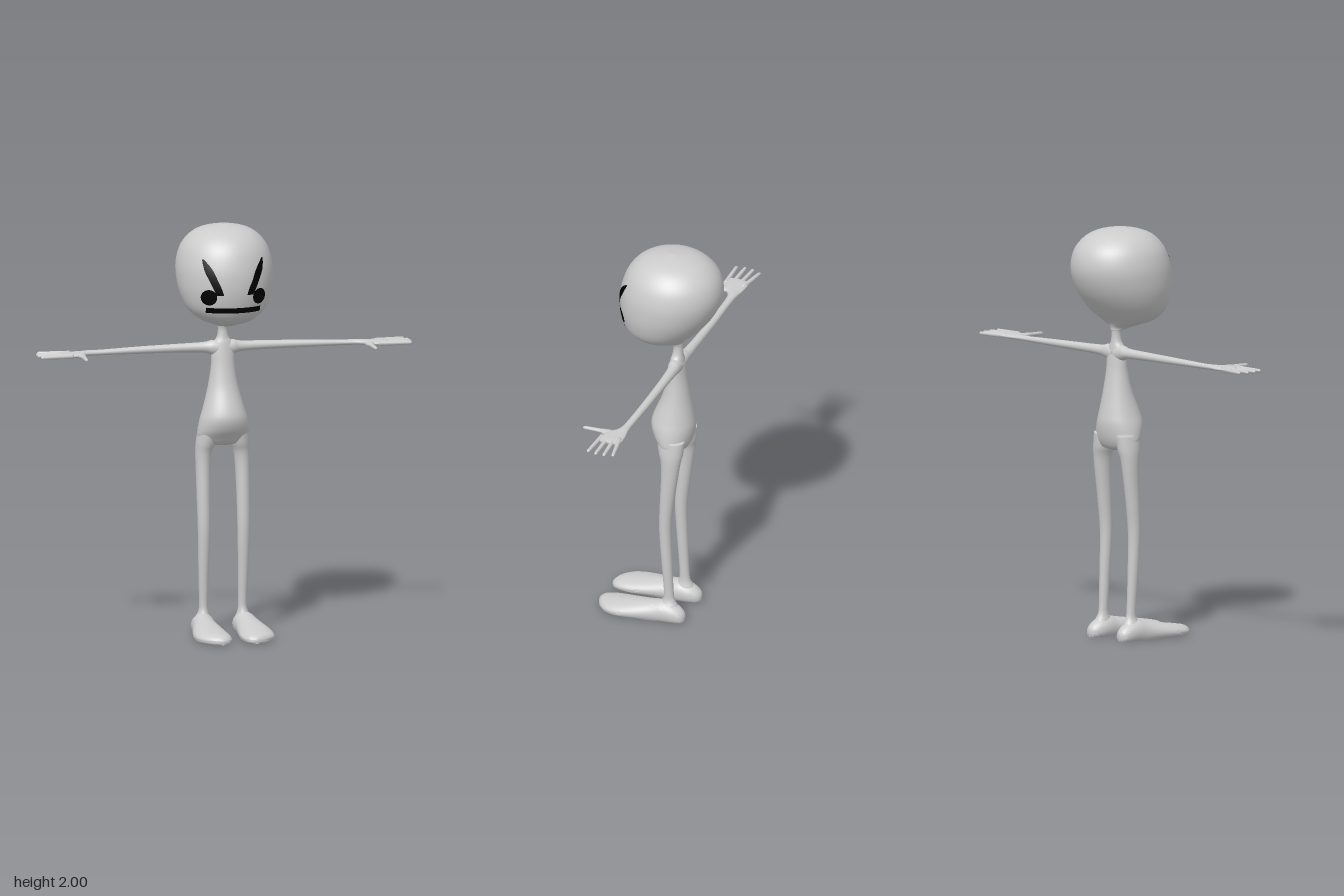
import * as THREE from 'three';
import { toCreasedNormals } from 'three/addons/utils/BufferGeometryUtils.js';

// Axis order (u, v, w) of a loft: rings lie in u-v and advance along w
const UP = (u, v, w) => [u, w, v];       // u = x, v = z, w = y
const SIDEWAYS = (u, v, w) => [w, v, u]; // u = z, v = y, w = x
const FORWARD = (u, v, w) => [v, u, w];  // u = y, v = x, w = z

// Smooth interpolation through stations [w, uMin, uMax, vMin, vMax]
function sample(stations, t) {
  const n = stations.length - 1;
  const i = Math.min(Math.floor(t), n - 1);
  const f = t - i;
  const at = (k) => stations[Math.max(0, Math.min(n, k))];
  const [a, b, c, d] = [at(i - 1), at(i), at(i + 1), at(i + 2)];
  return b.map((p, k) => p + 0.5 * f * (c[k] - a[k]
    + f * (2 * a[k] - 5 * p + 4 * c[k] - d[k]
    + f * (3 * (p - c[k]) + d[k] - a[k]))));
}

// Closed skin over elliptical rings
function loft(stations, axes, sides = 24, steps = 4, floor = -Infinity) {
  const rows = [];
  const count = (stations.length - 1) * steps;
  for (let j = 0; j <= count; j++) rows.push(sample(stations, j / steps));
  const cap = ([w, a, b, c, d]) => [w, (a + b) / 2, (a + b) / 2, (c + d) / 2, (c + d) / 2];
  rows.unshift(cap(rows[0]));
  rows.push(cap(rows[rows.length - 1]));
  const positions = [], index = [];
  rows.forEach(([w, u0, u1, v0, v1], j) => {
    for (let i = 0; i < sides; i++) {
      const angle = (i / sides) * Math.PI * 2;
      const p = axes((u0 + u1) / 2 + Math.cos(angle) * (u1 - u0) / 2,
        (v0 + v1) / 2 + Math.sin(angle) * (v1 - v0) / 2, w);
      positions.push(p[0], Math.max(floor, p[1]), p[2]);
      if (j < rows.length - 1) {
        const a = j * sides + i, c = j * sides + (i + 1) % sides;
        index.push(a, a + sides, c, c, a + sides, c + sides);
      }
    }
  });
  const geometry = new THREE.BufferGeometry();
  geometry.setAttribute('position', new THREE.Float32BufferAttribute(positions, 3));
  geometry.setIndex(index);
  geometry.computeVertexNormals();
  return geometry;
}

// Copy reflected to the other side, with corner order restored
function mirrored(geometry) {
  const copy = geometry.clone().scale(-1, 1, 1);
  const ids = copy.index.array;
  for (let i = 0; i < ids.length; i += 3) [ids[i], ids[i + 1]] = [ids[i + 1], ids[i]];
  copy.computeVertexNormals();
  return copy;
}

const HEAD = [
  [1.5, -0.03, 0.03, -0.105, -0.04],
  [1.518, -0.055, 0.055, -0.108, 0.06],
  [1.545, -0.125, 0.125, -0.125, 0.135],
  [1.6, -0.19, 0.19, -0.185, 0.18],
  [1.68, -0.223, 0.223, -0.25, 0.203],
  [1.76, -0.234, 0.234, -0.288, 0.207],
  [1.83, -0.23, 0.23, -0.297, 0.196],
  [1.9, -0.207, 0.207, -0.277, 0.168],
  [1.955, -0.16, 0.16, -0.225, 0.118],
  [1.985, -0.1, 0.1, -0.155, 0.05],
  [2.0, -0.012, 0.012, -0.06, -0.036],
];

// Front of the head at a given x and y
function headFront(x, y) {
  let low = 0, high = HEAD.length - 1;
  for (let k = 0; k < 30; k++) {
    const mid = (low + high) / 2;
    if (sample(HEAD, mid)[0] < y) low = mid; else high = mid;
  }
  const [, , half, back, front] = sample(HEAD, low);
  return (front + back) / 2 + (front - back) / 2 * Math.sqrt(Math.max(0, 1 - (x / half) ** 2));
}

// Drapes a flat shape over the face
function drape(geometry) {
  const p = geometry.attributes.position;
  for (let i = 0; i < p.count; i++) p.setZ(i, headFront(p.getX(i), p.getY(i)) + 0.004);
  geometry.computeVertexNormals();
  return geometry;
}

// Slanted brow, from inner end to outer end: [y, inner x, outer x]
function browGeometry() {
  const edges = [[1.692, 0.058, 0.09], [1.72, 0.066, 0.104], [1.76, 0.084, 0.122],
    [1.8, 0.1, 0.14], [1.83, 0.117, 0.147], [1.862, 0.142, 0.15]];
  const across = 4, up = 15;
  const geometry = new THREE.PlaneGeometry(1, 1, across, up);
  const p = geometry.attributes.position;
  for (let i = 0; i < p.count; i++) {
    const [y, inner, outer] = sample(edges, (p.getY(i) + 0.5) * (edges.length - 1));
    p.setXY(i, THREE.MathUtils.lerp(inner, outer, p.getX(i) + 0.5), y);
  }
  return geometry;
}

export function createModel() {
  const model = new THREE.Group();
  model.name = 'figure';
  const skin = new THREE.MeshStandardMaterial({ color: 0xcccccc });
  skin.name = 'light grey skin';
  const ink = new THREE.MeshStandardMaterial({ color: 0x000000 });
  ink.name = 'black face paint';

  const add = (name, geometry, material = skin) => {
    const mesh = new THREE.Mesh(geometry, material);
    mesh.name = name;
    model.add(mesh);
  };
  const addPair = (name, geometry, material = skin, finish = (g) => g) => {
    add(name + 'Left', finish(geometry), material);
    add(name + 'Right', finish(mirrored(geometry)), material);
  };

  add('head', loft(HEAD, UP, 48, 5));

  // Pear-shaped torso running up into the neck
  add('torso', loft([
    [0.918, -0.05, 0.05, -0.1, -0.04],
    [0.93, -0.1, 0.1, -0.125, -0.015],
    [0.96, -0.126, 0.126, -0.143, 0.008],
    [1.0, -0.125, 0.125, -0.155, 0.037],
    [1.05, -0.116, 0.116, -0.16, 0.053],
    [1.1, -0.101, 0.101, -0.154, 0.043],
    [1.2, -0.075, 0.075, -0.136, 0.002],
    [1.3, -0.059, 0.059, -0.12, -0.022],
    [1.37, -0.056, 0.056, -0.112, -0.034],
    [1.415, -0.048, 0.048, -0.106, -0.042],
    [1.445, -0.028, 0.028, -0.102, -0.05],
    [1.49, -0.023, 0.023, -0.101, -0.053],
    [1.53, -0.034, 0.034, -0.106, -0.035],
  ], UP, 32));

  // Legs, flaring at the ankle into the foot
  addPair('leg', loft([
    [0.03, 0.05, 0.15, -0.13, -0.01],
    [0.075, 0.064, 0.136, -0.115, -0.025],
    [0.105, 0.073, 0.121, -0.1, -0.04],
    [0.15, 0.075, 0.118, -0.093, -0.045],
    [0.3, 0.073, 0.123, -0.087, -0.034],
    [0.5, 0.068, 0.128, -0.081, -0.021],
    [0.65, 0.066, 0.131, -0.095, -0.025],
    [0.8, 0.062, 0.133, -0.116, -0.031],
    [0.88, 0.054, 0.134, -0.127, -0.027],
    [0.93, 0.036, 0.132, -0.136, -0.012],
    [1.0, 0.03, 0.122, -0.14, 0.0],
  ], UP));

  // Broad flat-soled feet
  addPair('foot', loft([
    [-0.155, 0, 0.04, 0.09, 0.118],
    [-0.14, -0.015, 0.06, 0.07, 0.138],
    [-0.1, -0.02, 0.085, 0.053, 0.152],
    [-0.05, -0.025, 0.098, 0.047, 0.159],
    [0, -0.025, 0.088, 0.046, 0.167],
    [0.1, -0.02, 0.071, 0.033, 0.189],
    [0.17, -0.02, 0.06, 0.025, 0.196],
    [0.23, -0.015, 0.05, 0.026, 0.183],
    [0.275, -0.01, 0.04, 0.04, 0.142],
    [0.295, 0, 0.025, 0.065, 0.1],
  ], FORWARD, 32, 4, 0), skin, (g) => toCreasedNormals(g, 0.9));

  // Arms widening into flat palms
  addPair('arm', loft([
    [0.0, -0.11, -0.04, 1.345, 1.425],
    [0.05, -0.11, -0.045, 1.355, 1.428],
    [0.09, -0.109, -0.056, 1.367, 1.419],
    [0.2, -0.107, -0.063, 1.372, 1.415],
    [0.4, -0.105, -0.065, 1.374, 1.41],
    [0.6, -0.098, -0.061, 1.376, 1.403],
    [0.67, -0.1, -0.05, 1.376, 1.403],
    [0.7, -0.104, -0.022, 1.376, 1.402],
    [0.73, -0.108, 0.004, 1.376, 1.402],
    [0.78, -0.11, 0.01, 1.378, 1.402],
    [0.805, -0.1, 0.0, 1.382, 1.4],
  ], SIDEWAYS));

  // Four slim fingers: [base z, tip z, tip x]
  [[-0.092, -0.119, 0.908], [-0.066, -0.078, 0.923], [-0.034, -0.036, 0.925], [-0.002, 0.006, 0.918]]
    .forEach(([z0, z1, tip], k) => {
      const ring = (x, z, r) => [x, z - r, z + r, 1.39 - r, 1.39 + r];
      addPair('finger' + (k + 1), loft([
        ring(0.755, z0, 0.012), ring(0.8, z0 + (z1 - z0) * 0.3, 0.011),
        ring(tip - 0.02, z1 * 0.9 + z0 * 0.1, 0.009), ring(tip - 0.005, z1, 0.007),
        ring(tip, z1, 0.002),
      ], SIDEWAYS, 12, 3));
    });

  // Thumbs pointing forward
  addPair('thumb', loft([
    [-0.04, 1.377, 1.401, 0.69, 0.75],
    [0.0, 1.377, 1.4, 0.692, 0.735],
    [0.03, 1.378, 1.398, 0.7, 0.724],
    [0.1, 1.378, 1.396, 0.706, 0.724],
    [0.115, 1.383, 1.391, 0.712, 0.72],
  ], FORWARD, 12, 3));

  // Painted face
  const eye = new THREE.RingGeometry(0.0005, 0.037, 28, 5).scale(0.95, 1.05, 1).translate(0.124, 1.68, 0);
  addPair('eye', drape(eye), ink);
  addPair('brow', drape(browGeometry()), ink);
  add('mouth', drape(new THREE.PlaneGeometry(0.268, 0.027, 32, 3).translate(0, 1.615, 0)), ink);

  return model;
}
